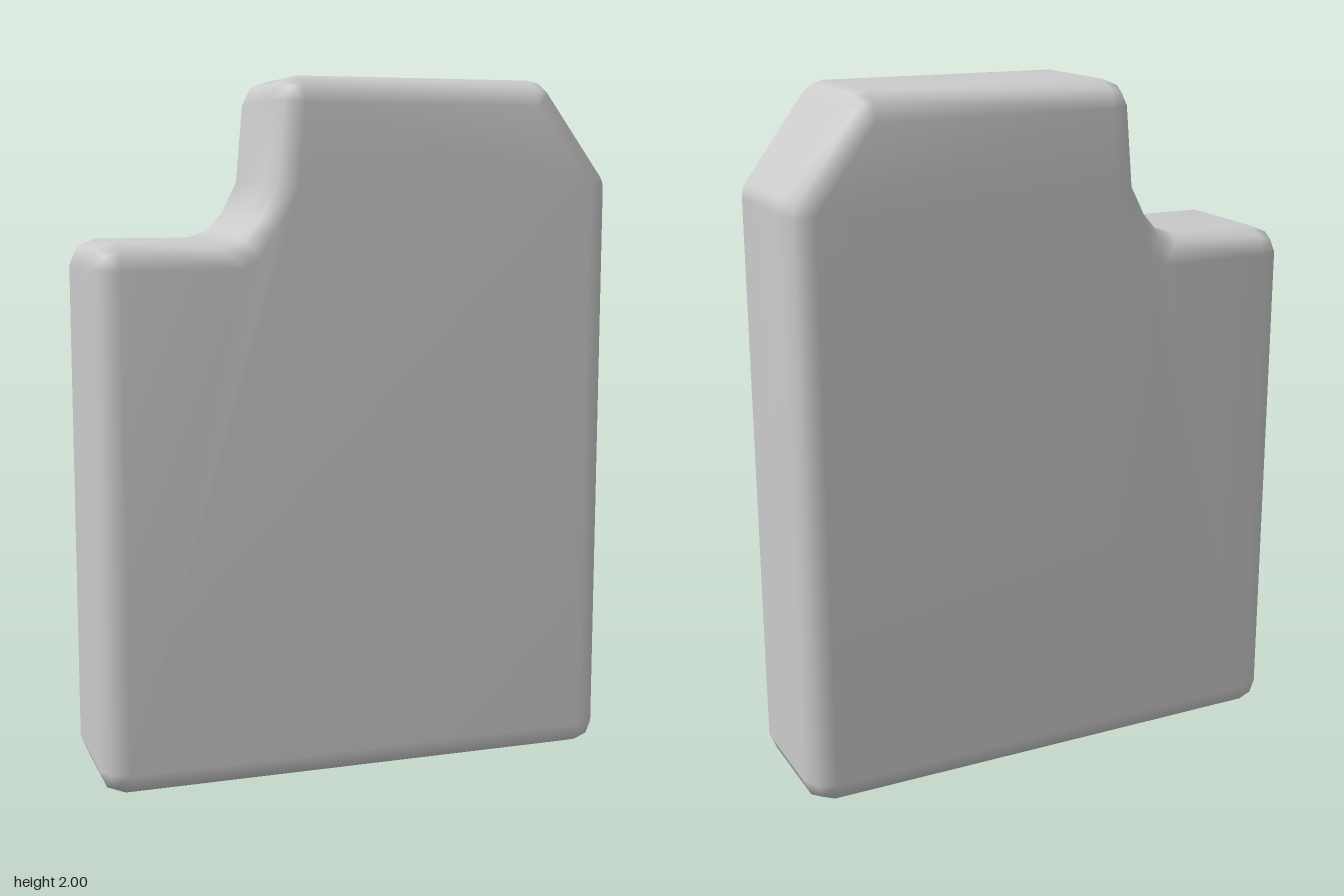
import * as THREE from 'three';
import { mergeVertices } from 'three/addons/utils/BufferGeometryUtils.js';

const R = 0.075;       // edge rounding
const HALF = 0.228;    // half thickness

// rounded corner: core point plus outward offsets from angle a to angle b
function corner(x, y, a, b) {
  const offsets = [a, (a + b) / 2, b].map((d) => {
    const t = THREE.MathUtils.degToRad(d);
    return [R * Math.cos(t), R * Math.sin(t)];
  });
  return { x, y, offsets };
}

// single point of the concave notch, with its outer position
const notch = (x, y, ox, oy) => ({ x, y, offsets: [[ox - x, oy - y]] });

// silhouette, counter-clockwise from the bottom left
const outline = [
  corner(-0.69, 0.075, 180, 270),
  corner(0.69, 0.075, 270, 360),
  corner(0.69, 1.695, 0, 36.5),
  corner(0.52, 1.925, 36.5, 90),
  corner(-0.175, 1.925, 90, 175),
  notch(-0.195, 1.69, -0.27, 1.71),
  notch(-0.25, 1.59, -0.315, 1.62),
  notch(-0.305, 1.505, -0.36, 1.57),
  notch(-0.35, 1.475, -0.42, 1.55),
  corner(-0.69, 1.475, 90, 180),
];

function roundedSlab() {
  const positions = [];
  const index = [];
  const loop = outline.flatMap((p) => p.offsets.map(([dx, dy]) => [p.x, p.y, dx, dy]));
  const n = loop.length;

  // rings from the front face, round the rim, to the back face
  const rings = [[90, 1], [45, 1], [0, 1], [0, -1], [45, -1], [90, -1]];
  for (const [deg, side] of rings) {
    const t = THREE.MathUtils.degToRad(deg);
    const z = side * (HALF - R + R * Math.sin(t));
    for (const [x, y, dx, dy] of loop) {
      positions.push(x + dx * Math.cos(t), y + dy * Math.cos(t), z);
    }
  }
  for (let k = 0; k < rings.length - 1; k++) {
    for (let i = 0; i < n; i++) {
      const j = (i + 1) % n;
      const a = k * n + i, b = k * n + j, c = a + n, d = b + n;
      index.push(a, c, d, a, d, b);
    }
  }

  // flat front and back faces
  const core = outline.map((p) => new THREE.Vector2(p.x, p.y));
  const faces = THREE.ShapeUtils.triangulateShape(core, []);
  for (const side of [1, -1]) {
    const start = positions.length / 3;
    core.forEach((p) => positions.push(p.x, p.y, side * HALF));
    for (const [a, b, c] of faces) {
      index.push(start + a, start + (side > 0 ? b : c), start + (side > 0 ? c : b));
    }
  }

  const raw = new THREE.BufferGeometry();
  raw.setAttribute('position', new THREE.Float32BufferAttribute(positions, 3));
  raw.setIndex(index);
  const geometry = mergeVertices(raw, 1e-4);
  geometry.computeVertexNormals();
  return geometry;
}

export function createModel() {
  const group = new THREE.Group();
  group.name = 'notchedSlab';
  const body = new THREE.Mesh(roundedSlab(), new THREE.MeshStandardMaterial({ color: 0xcccccc }));
  body.name = 'body';
  group.add(body);
  return group;
}
